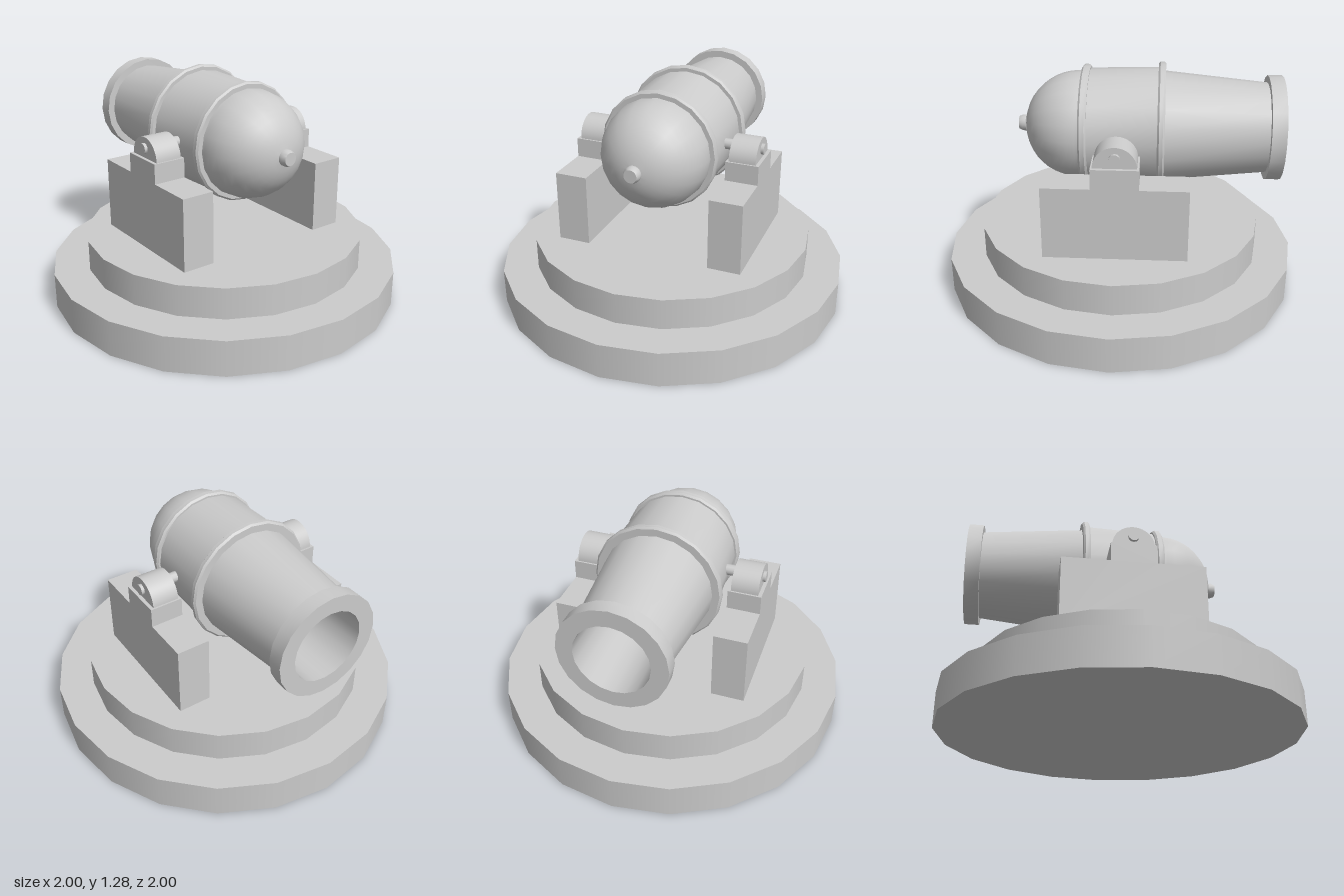
import * as THREE from 'three';
import { toCreasedNormals } from 'three/addons/utils/BufferGeometryUtils.js';

const material = new THREE.MeshStandardMaterial({ color: 0xcccccc });
const AXIS_Y = 0.93; // height of the barrel's axis

function add(parent, name, geometry, x = 0, y = 0, z = 0) {
  const mesh = new THREE.Mesh(geometry, material);
  mesh.name = name;
  mesh.position.set(x, y, z);
  parent.add(mesh);
  return mesh;
}

// Extrudes a (z, y) outline along x, centred on x = 0
function extrudeAlongX(shape, width) {
  const geometry = new THREE.ExtrudeGeometry(shape, { depth: width, bevelEnabled: false, curveSegments: 14 });
  geometry.translate(0, 0, -width / 2);
  geometry.rotateY(-Math.PI / 2);
  return toCreasedNormals(geometry, 0.6);
}

// Rounded band around the barrel, as [radius, z] points from z0 to z1
function band(inner0, inner1, outer, z0, z1) {
  const b = 0.01;
  return [[inner0, z0], [outer - b, z0], [outer, z0 + b], [outer, z1 - b], [outer - b, z1], [inner1, z1]];
}

// Barrel turned as one profile: bore, muzzle, bands, domed breech and knob
function barrelGeometry() {
  const profile = [
    [0, 0.1], [0.2, 0.1], [0.2, -0.89],
    [0.29, -0.89], [0.29, -0.81], [0.25, -0.81],
    ...band(0.305, 0.325, 0.355, -0.25, -0.21),
    ...band(0.315, 0.3, 0.335, 0.165, 0.21),
  ];
  const knobAngle = Math.acos(0.035 / 0.3);
  for (let i = 0; i <= 10; i++) {
    const a = (knobAngle * i) / 10;
    profile.push([0.3 * Math.cos(a), 0.23 + 0.3 * Math.sin(a)]);
  }
  profile.push([0.045, 0.53], [0.045, 0.55], [0.036, 0.57], [0, 0.57]);
  const lathe = new THREE.LatheGeometry(profile.map(([r, z]) => new THREE.Vector2(r, z)), 20);
  lathe.rotateX(Math.PI / 2);
  return toCreasedNormals(lathe, 0.6);
}

export function createModel() {
  const model = new THREE.Group();
  model.name = 'cannon';

  // Two-step round base
  add(model, 'lowerBase', new THREE.CylinderGeometry(1, 1, 0.2, 20), 0, 0.1, 0);
  add(model, 'upperBase', new THREE.CylinderGeometry(0.8, 0.8, 0.175, 20), 0, 0.2875, 0);

  add(model, 'barrel', barrelGeometry(), 0, AXIS_Y, 0);

  // Stepped support outline
  const stepped = new THREE.Shape([
    [-0.385, 0.375], [0.385, 0.375], [0.385, 0.78], [0.125, 0.78],
    [0.125, 0.89], [-0.125, 0.89], [-0.125, 0.78], [-0.385, 0.78],
  ].map(([z, y]) => new THREE.Vector2(z, y)));
  const supportGeometry = extrudeAlongX(stepped, 0.185);

  // Half-round bearing cap
  const arch = new THREE.Shape();
  arch.absarc(0, 0, 0.115, 0, Math.PI, false);
  const capGeometry = extrudeAlongX(arch, 0.15);

  // Pivot pin
  const pinGeometry = new THREE.CylinderGeometry(0.03, 0.03, 0.25, 12);
  pinGeometry.rotateZ(Math.PI / 2);

  for (const [side, s] of [['left', 1], ['right', -1]]) {
    const mount = new THREE.Group();
    mount.name = side + 'Mount';
    add(mount, 'support', supportGeometry, s * 0.4475, 0, 0);
    add(mount, 'bearingCap', capGeometry, s * 0.445, 0.89, 0);
    add(mount, 'pivotPin', pinGeometry, s * 0.412, 0.943, 0);
    model.add(mount);
  }
  return model;
}
